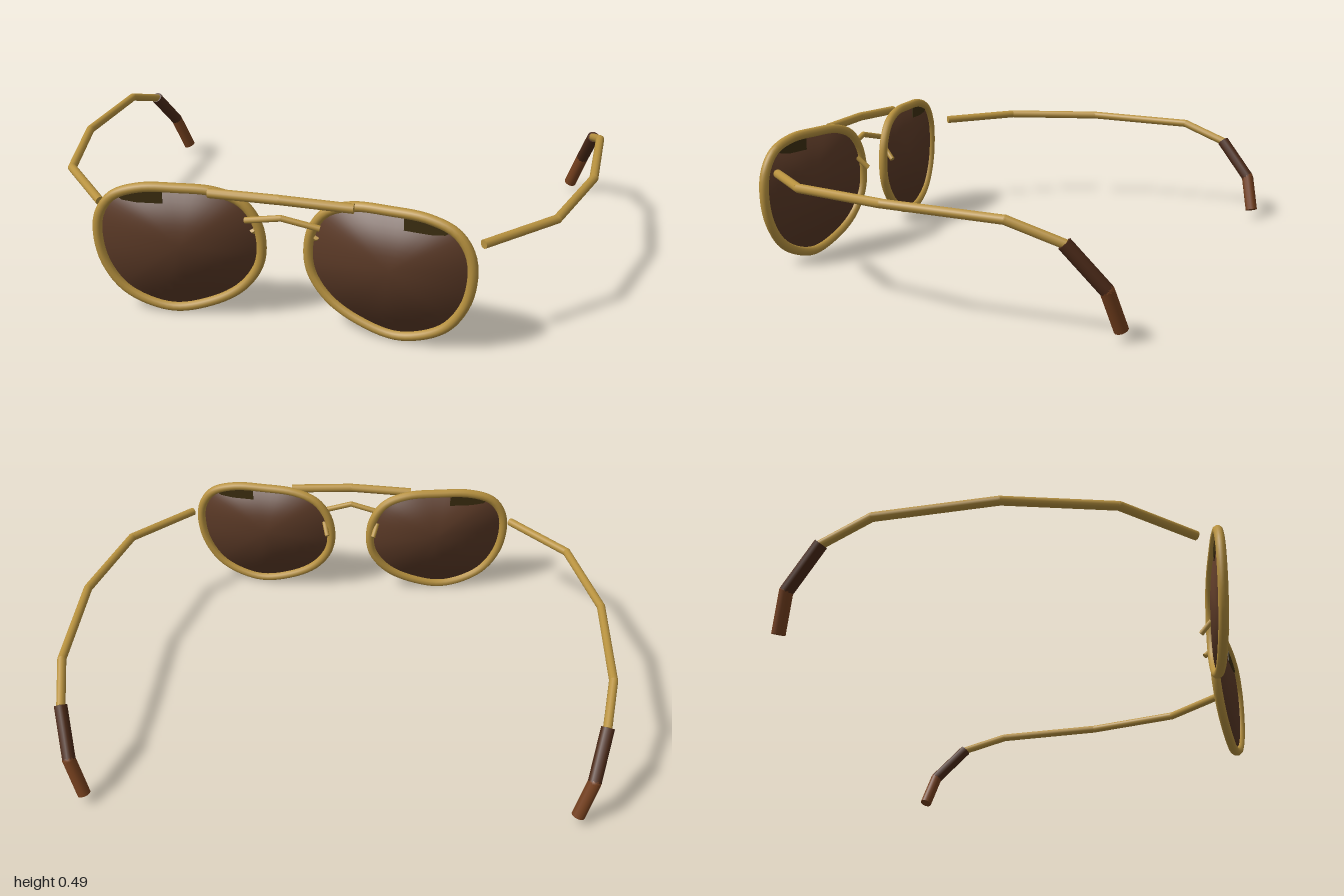
import * as THREE from 'three';

const mat = (name, color, side = THREE.FrontSide) => {
  const m = new THREE.MeshStandardMaterial({ color, side });
  m.name = name;
  return m;
};

export function createModel() {
  const gold = mat('gold metal', 0xb8923f);
  const lensBrown = mat('brown lens', 0x5a3926);
  const olive = mat('dark olive', 0x3c2e10);
  const shell = mat('dark tortoiseshell', 0x4c2a18);
  const amber = mat('amber tortoiseshell', 0x75401e);

  const model = new THREE.Group();
  model.name = 'sunglasses';

  const add = (parent, name, geometry, material) => {
    const mesh = new THREE.Mesh(geometry, material);
    mesh.name = name;
    parent.add(mesh);
    return mesh;
  };

  // Straight rods along a path, with balls filling the bends
  const rod = (parent, name, points, radius, materials) => {
    const group = new THREE.Group();
    group.name = name;
    const v = points.map((p) => new THREE.Vector3(...p));
    for (let i = 0; i < v.length - 1; i++) {
      const m = Array.isArray(materials) ? materials[i] : materials;
      const dir = v[i + 1].clone().sub(v[i]);
      const seg = add(group, name + 'Segment', new THREE.CylinderGeometry(radius, radius, dir.length(), 12), m);
      seg.position.copy(v[i]).addScaledVector(dir, 0.5);
      seg.quaternion.setFromUnitVectors(new THREE.Vector3(0, 1, 0), dir.normalize());
      if (i > 0) add(group, name + 'Bend', new THREE.SphereGeometry(radius, 12, 8), m).position.copy(v[i]);
    }
    parent.add(group);
  };

  // Rim centre line, clockwise from the top
  const outline = [
    [0.37, 0.479], [0.5, 0.474], [0.595, 0.44], [0.643, 0.375], [0.655, 0.29], [0.632, 0.18],
    [0.56, 0.082], [0.41, 0.025], [0.27, 0.053], [0.16, 0.115], [0.097, 0.2], [0.083, 0.28],
    [0.1, 0.37], [0.15, 0.438], [0.24, 0.473],
  ];
  const patch = [[0.42, 0.472], [0.42, 0.42], [0.51, 0.42], [0.56, 0.427], [0.588, 0.447], [0.5, 0.472]];

  // Lens face: rings from centre to outline; rounded normals on a nearly flat sheet
  const lensFace = (loop, cx, cy, dir) => {
    const rings = 8, n = loop.length, pos = [cx, cy, dir * 0.1], index = [];
    const tri = (a, b, c) => (dir > 0 ? index.push(a, b, c) : index.push(a, c, b));
    for (let r = 1; r <= rings; r++) {
      const t = r / rings;
      for (const p of loop) pos.push(cx + (p.x - cx) * t, cy + (p.y - cy) * t, dir * 0.1 * (1 - t * t));
      for (let i = 0; i < n; i++) {
        const j = (i + 1) % n, b = 1 + (r - 1) * n, a = b - n;
        if (r === 1) tri(0, b + i, b + j);
        else {
          tri(a + i, b + i, b + j);
          tri(a + i, b + j, a + j);
        }
      }
    }
    const g = new THREE.BufferGeometry();
    g.setAttribute('position', new THREE.Float32BufferAttribute(pos, 3));
    g.setIndex(index);
    g.computeVertexNormals();
    const p = g.attributes.position;
    for (let i = 0; i < p.count; i++) p.setZ(i, p.getZ(i) * 0.03);
    return g;
  };

  for (const s of [1, -1]) {
    const side = s > 0 ? 'left' : 'right';
    const flip = (pts) => pts.map(([x, y, z]) => [s * x, y, z]);

    // Rim, lens and tinted patch, angled outward
    const eye = new THREE.Group();
    eye.name = side + 'Eyepiece';
    eye.rotation.y = -s * 0.128;
    eye.position.z = 0.633;
    model.add(eye);

    const pts = flip(outline).map(([x, y]) => new THREE.Vector3(x, y, 0));
    if (s > 0) pts.reverse();
    const curve = new THREE.CatmullRomCurve3(pts, true);
    add(eye, side + 'Rim', new THREE.TubeGeometry(curve, 72, 0.0175, 10, true), gold);
    const loop = curve.getPoints(60).slice(0, -1);
    add(eye, side + 'LensFront', lensFace(loop, s * 0.37, 0.26, 1), lensBrown);
    add(eye, side + 'LensBack', lensFace(loop, s * 0.37, 0.26, -1), lensBrown);

    const shape = new THREE.Shape(flip(patch).map(([x, y]) => new THREE.Vector2(x, y)));
    const plate = new THREE.ExtrudeGeometry(shape, { depth: 0.009, bevelEnabled: false });
    add(eye, side + 'LensPatch', plate.translate(0, 0, -0.0045), olive);

    // Nose pad stub
    rod(model, side + 'NoseStub', flip([[0.112, 0.34, 0.65], [0.097, 0.298, 0.608]]), 0.01, gold);

    // Temple arm and its tip
    rod(model, side + 'Temple', flip([
      [0.67, 0.378, 0.64], [0.885, 0.388, 0.41], [0.983, 0.391, 0.04],
      [0.983, 0.38, -0.385], [0.95, 0.315, -0.57],
    ]), 0.016, gold);
    rod(model, side + 'TempleTip', flip([
      [0.952, 0.318, -0.565], [0.912, 0.175, -0.688], [0.868, 0.042, -0.72],
    ]), 0.024, [shell, amber]);
  }

  // Brow bar and bridge
  rod(model, 'browBar', [[-0.25, 0.477, 0.688], [0, 0.484, 0.698], [0.25, 0.477, 0.688]], 0.017, gold);
  rod(model, 'bridge', [[-0.13, 0.382, 0.67], [0, 0.412, 0.685], [0.13, 0.382, 0.67]], 0.011, gold);

  return model;
}
